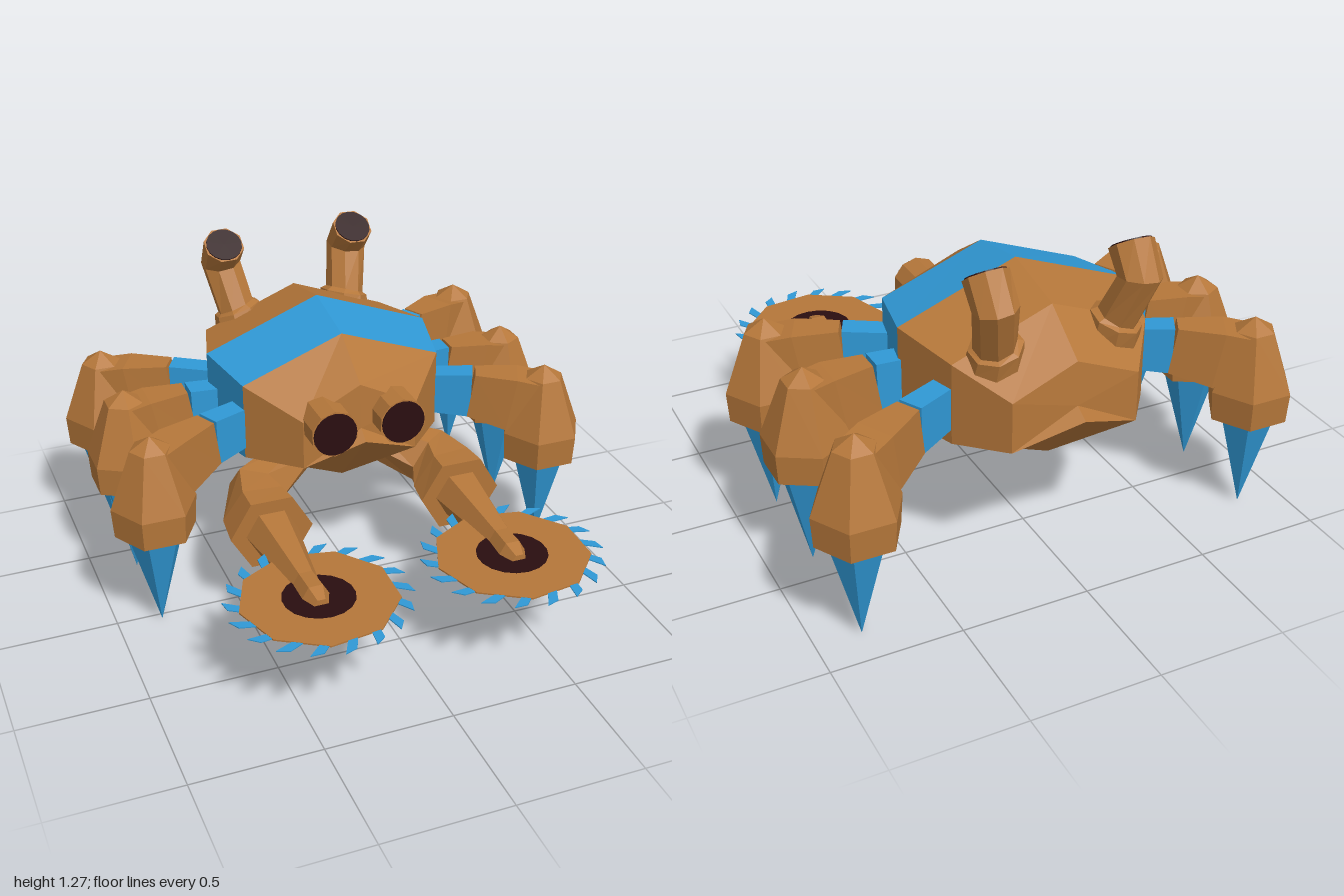
import * as THREE from 'three';

const makeMaterial = (name, color, side = THREE.FrontSide) =>
  Object.assign(new THREE.MeshStandardMaterial({ color, flatShading: true, side }), { name });

// Skin a list of equal-length rings, with optional end caps
function loft(rings, capStart = true, capEnd = true) {
  const pos = [];
  const tri = (...pts) => pts.forEach((p) => pos.push(p.x, p.y, p.z));
  const n = rings[0].length;
  for (let i = 0; i < rings.length - 1; i++) {
    for (let j = 0; j < n; j++) {
      const k = (j + 1) % n, a = rings[i], b = rings[i + 1];
      tri(a[j], a[k], b[k]);
      tri(a[j], b[k], b[j]);
    }
  }
  const cap = (ring, flip) => {
    const c = ring.reduce((s, p) => s.add(p), new THREE.Vector3()).divideScalar(n);
    ring.forEach((p, j) => {
      const q = ring[(j + 1) % n];
      flip ? tri(c, q, p) : tri(c, p, q);
    });
  };
  if (capStart) cap(rings[0], true);
  if (capEnd) cap(rings[rings.length - 1], false);
  const geo = new THREE.BufferGeometry();
  geo.setAttribute('position', new THREE.Float32BufferAttribute(pos, 3));
  geo.computeVertexNormals();
  return geo;
}

// Rings along a path of stations [x, y, z, half width, half height]
function pathRings(stations, sides, phase = 0, ref = new THREE.Vector3(0, 1, 0)) {
  const pts = stations.map((s) => new THREE.Vector3(s[0], s[1], s[2]));
  return stations.map((s, i) => {
    const dir = (a, b) => pts[b].clone().sub(pts[a]).normalize();
    const t = new THREE.Vector3();
    if (i > 0) t.add(dir(i - 1, i));
    if (i < pts.length - 1) t.add(dir(i, i + 1));
    t.normalize();
    const u = ref.clone().cross(t).normalize();
    const v = t.clone().cross(u);
    return Array.from({ length: sides }, (_, j) => {
      const a = phase + (j / sides) * Math.PI * 2;
      return pts[i].clone().addScaledVector(u, Math.cos(a) * s[3])
        .addScaledVector(v, Math.sin(a) * (s[4] ?? s[3]));
    });
  });
}

export function createModel() {
  const brown = makeMaterial('copper brown', 0xb5773a);
  const blue = makeMaterial('blue', 0x3099d6);
  const blueThin = blue;
  blueThin.side = THREE.DoubleSide;
  const dark = makeMaterial('dark lens', 0x2a0e10);
  const model = new THREE.Group();
  model.name = 'crabRobot';
  const add = (name, geo, mat, parent = model) => {
    const mesh = new THREE.Mesh(geo, mat);
    mesh.name = name;
    parent.add(mesh);
    return mesh;
  };

  // Hexagonal shell: z, half width, side low, side high, top, bottom, z of bottom point
  const shell = [
    [-0.87, 0.25, 0.6, 0.8, 0.905, 0.7, -0.94],
    [-0.68, 0.39, 0.57, 0.89, 1.04, 0.43, -0.68],
    [-0.4, 0.47, 0.555, 0.92, 1.1, 0.385, -0.4],
    [-0.12, 0.41, 0.58, 0.895, 1.05, 0.42, -0.12],
    [0.08, 0.235, 0.6, 0.8, 0.92, 0.7, 0.14],
  ].map(([z, w, lo, hi, top, bot, zb]) => [
    [w, lo, z], [w, hi, z], [0, top, z], [-w, hi, z], [-w, lo, z], [0, bot, zb],
  ].map((p) => new THREE.Vector3(...p)));
  add('rearShell', loft(shell.slice(0, 3), true, false), brown);
  add('shellBand', loft(shell.slice(2, 4), false, false), blue);
  add('frontShell', loft(shell.slice(3), false, true), brown);

  for (const s of [1, -1]) {
    const side = s > 0 ? 'left' : 'right';

    // Front eyes
    const eye = new THREE.Group();
    eye.name = side + 'Eye';
    eye.position.set(s * 0.14, 0.78, 0);
    model.add(eye);
    add('eyeBarrel', new THREE.CylinderGeometry(0.096, 0.096, 0.16, 10).rotateX(Math.PI / 2), brown, eye).position.z = 0.095;
    add('eyeLens', new THREE.CylinderGeometry(0.088, 0.088, 0.006, 20).rotateX(Math.PI / 2), dark, eye).position.z = 0.178;

    // Bent eyestalk with lens
    const stalk = [
      [s * 0.235, 0.88, -0.7, 0.105], [s * 0.24, 0.95, -0.72, 0.1],
      [s * 0.245, 0.96, -0.722, 0.08], [s * 0.28, 1.135, -0.797, 0.082],
      [s * 0.283, 1.235, -0.725, 0.084],
    ];
    add(side + 'Eyestalk', loft(pathRings(stalk, 8, Math.PI / 8, new THREE.Vector3(0, 0, 1))), brown);
    const look = new THREE.Vector3(0, 0.8, 0.58).normalize();
    const lens = add(side + 'StalkLens', new THREE.CylinderGeometry(0.074, 0.074, 0.006, 16), dark);
    lens.position.set(...stalk[4].slice(0, 3)).addScaledVector(look, 0.002);
    lens.quaternion.setFromUnitVectors(new THREE.Vector3(0, 1, 0),
      new THREE.Vector3(s * 0.003, 0.1, 0.072).normalize());

    // Legs: hip z, foot z, hexagon turn
    [['Front', -0.17, 0.03, Math.PI / 6], ['Middle', -0.37, -0.375, 0],
      ['Rear', s > 0 ? -0.63 : -0.53, s > 0 ? -0.855 : -0.76, Math.PI / 6]].forEach(([name, hz, fz, turn]) => {
      const leg = new THREE.Group();
      leg.name = side + name + 'Leg';
      model.add(leg);
      const at = (x, y, w, h) => [s * x, y, hz + (fz - hz) * (x - 0.4) / 0.425, w * Math.SQRT2, h * Math.SQRT2];
      const joint = [at(0.37, 0.71, 0.045, 0.08), at(0.56, 0.705, 0.048, 0.095)];
      const upper = [joint[1], at(0.71, 0.68, 0.075, 0.115), at(0.8, 0.66, 0.075, 0.115)];
      add('hipJoint', loft(pathRings(joint, 4, Math.PI / 4)), blue, leg);
      add('upperLeg', loft(pathRings(upper, 4, Math.PI / 4)), brown, leg);
      const knee = [[0, 0.43], [0.16, 0.43], [0.168, 0.55], [0.08, 0.785], [0, 0.835]];
      const foot = [[0, 0.01], [0.115, 0.435]];
      for (const [part, profile, mat] of [['kneeCap', knee, brown], ['footSpike', foot, blue]]) {
        const mesh = add(part, new THREE.LatheGeometry(profile.map((p) => new THREE.Vector2(...p)), 6), mat, leg);
        mesh.position.set(s * 0.825, 0, fz);
        mesh.rotation.y = turn;
      }
    });

    // Claw arm: shoulder to thick elbow, then a tapering forearm
    const arm = [
      [s * 0.15, 0.53, -0.2, 0.08], [s * 0.37, 0.44, -0.1, 0.12],
      [s * 0.4, 0.4, 0.04, 0.155], [s * 0.4, 0.395, 0.165, 0.167],
    ];
    const forearm = [
      [s * 0.4, 0.395, 0.16, 0.105], [s * 0.398, 0.4, 0.54, 0.052],
      [s * 0.395, 0.4, 0.64, 0.055], [s * 0.395, 0.4, 0.7, 0.03],
    ];
    add(side + 'ClawArm', loft(pathRings(arm, 6)), brown);
    add(side + 'ClawForearm', loft(pathRings(forearm, 6)), brown);

    // Saw blade with slanted teeth
    const saw = new THREE.Group();
    saw.name = side + 'Saw';
    saw.position.set(s > 0 ? 0.393 : -0.385, 0.4, 0.645);
    model.add(saw);
    const polar = (r, deg) => new THREE.Vector2(r * Math.cos(deg * Math.PI / 180), r * Math.sin(deg * Math.PI / 180));
    const flat = (shape, h) => new THREE.ExtrudeGeometry(shape, { depth: h, bevelEnabled: false })
      .translate(0, 0, -h / 2).rotateX(Math.PI / 2);
    const disc = new THREE.Shape(Array.from({ length: 9 }, (_, i) => polar(0.3, 22 + i * 40)));
    add('sawDisc', flat(disc, 0.006), brown, saw);
    const teeth = Array.from({ length: 18 }, (_, i) => {
      const a = i * 20;
      return new THREE.Shape([polar(0.27, a), polar(0.27, a + 8), polar(0.352, a + 15), polar(0.335, a + 7)]);
    });
    add('sawTeeth', flat(teeth, 0.004), blueThin, saw);
    add('sawHub', new THREE.CylinderGeometry(0.137, 0.137, 0.009, 18), dark, saw);
  }
  return model;
}
